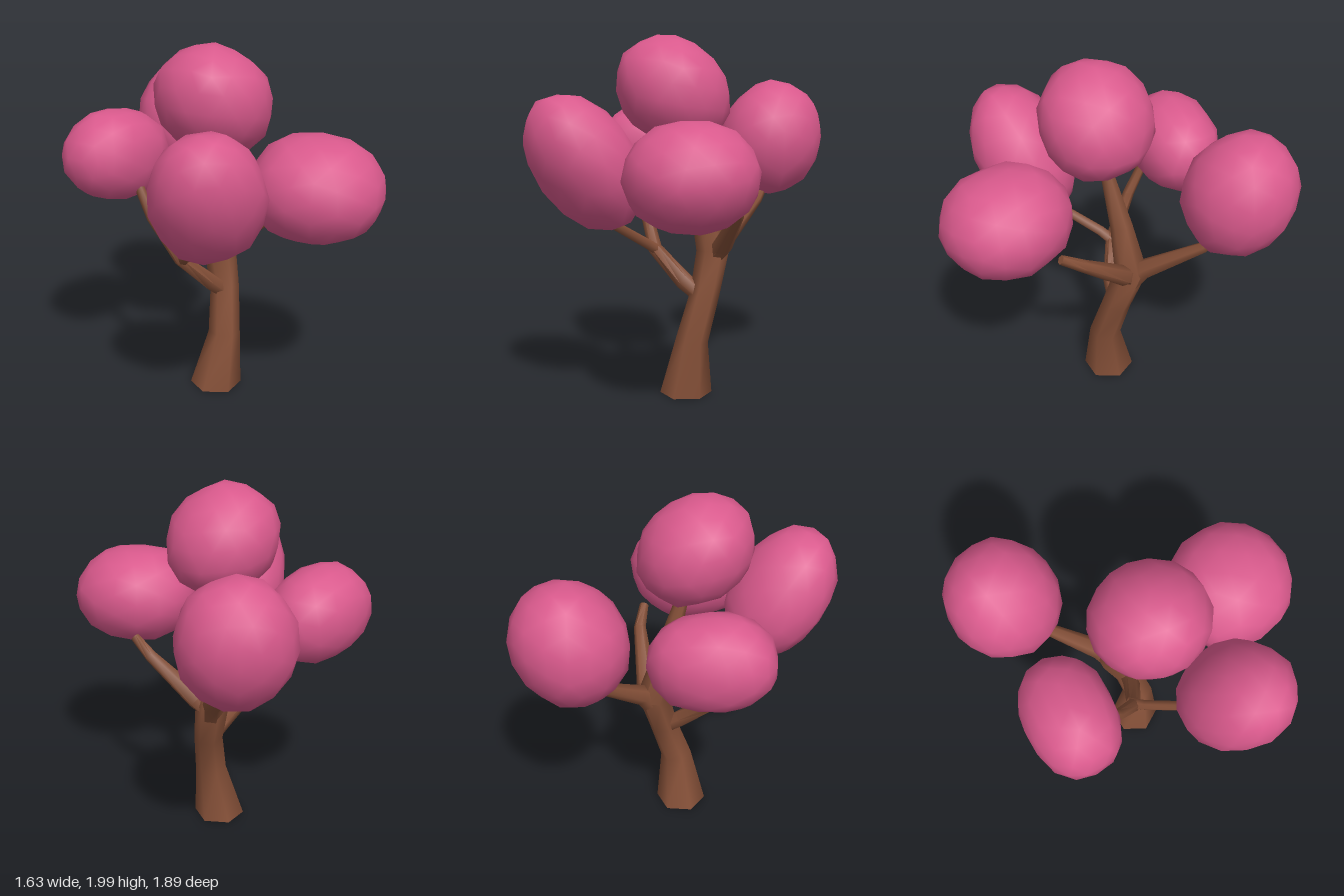
import * as THREE from 'three';
import { mergeVertices, toCreasedNormals } from 'three/addons/utils/BufferGeometryUtils.js';

const bark = new THREE.MeshStandardMaterial({ color: 0x855038, side: THREE.DoubleSide });
bark.name = 'bark brown';
const blossom = new THREE.MeshStandardMaterial({ color: 0xd9598c });
blossom.name = 'blossom pink';

// small seeded generator for the uneven foliage
function seeded(seed) {
  return () => {
    seed = (seed * 16807) % 2147483647;
    return seed / 2147483647;
  };
}

// tapered six-sided limb through points [x, y, z, radius], open at the start and capped at the tip
function limb(name, points, levelStart = false) {
  const sides = 6;
  const centres = points.map(p => new THREE.Vector3(p[0], p[1], p[2]));
  const up = new THREE.Vector3(0, 1, 0);
  const last = centres.length - 1;
  const rings = centres.map((c, i) => {
    const along = centres[Math.min(i + 1, last)].clone().sub(centres[Math.max(i - 1, 0)]).normalize();
    const turn = new THREE.Quaternion();
    if (i > 0 || !levelStart) turn.setFromUnitVectors(up, along);
    return Array.from({ length: sides }, (_, k) => {
      const a = ((k + 0.35) / sides) * Math.PI * 2;
      return new THREE.Vector3(Math.sin(a), 0, Math.cos(a))
        .multiplyScalar(points[i][3]).applyQuaternion(turn).add(c);
    });
  });
  const corners = [];
  for (let k = 0; k < sides; k++) {
    const n = (k + 1) % sides;
    for (let i = 0; i < last; i++) {
      const [a, b, c, d] = [rings[i][k], rings[i][n], rings[i + 1][n], rings[i + 1][k]];
      corners.push(a, b, c, a, c, d);
    }
    corners.push(centres[last], rings[last][k], rings[last][n]);
  }
  const geometry = toCreasedNormals(new THREE.BufferGeometry().setFromPoints(corners), 1.15);
  const mesh = new THREE.Mesh(geometry, bark);
  mesh.name = name;
  return mesh;
}

// slightly uneven foliage clump; a power above 2 makes it boxier
function clump(name, centre, radii, rotation, power, seed) {
  const random = seeded(seed);
  let geometry = new THREE.IcosahedronGeometry(1, 2);
  geometry.deleteAttribute('uv');
  geometry.deleteAttribute('normal');
  geometry = mergeVertices(geometry, 1e-3);
  const pos = geometry.attributes.position;
  const v = new THREE.Vector3();
  const scale = new THREE.Vector3(...radii);
  for (let i = 0; i < pos.count; i++) {
    v.fromBufferAttribute(pos, i);
    const size = Math.abs(v.x) ** power + Math.abs(v.y) ** power + Math.abs(v.z) ** power;
    v.multiply(scale).multiplyScalar(size ** (-1 / power) * (0.975 + 0.05 * random()));
    pos.setXYZ(i, v.x, v.y, v.z);
  }
  geometry.computeVertexNormals();
  const mesh = new THREE.Mesh(geometry, blossom);
  mesh.name = name;
  mesh.position.set(...centre);
  mesh.rotation.set(...rotation);
  return mesh;
}

export function createModel() {
  const tree = new THREE.Group();
  tree.name = 'tree';

  // trunk, bending backwards and then up into the crown
  tree.add(limb('trunk', [
    [-0.01, 0.015, 0.073, 0.145],
    [0.04, 0.33, 0.07, 0.09],
    [0.055, 0.58, -0.01, 0.082],
    [0.035, 0.82, -0.09, 0.093],
    [0.012, 1.1, -0.02, 0.062],
    [-0.01, 1.47, 0.09, 0.03],
  ], true));

  // branches, thick where they leave the trunk
  tree.add(limb('backBranch', [
    [0.04, 0.72, -0.06, 0.07], [0.03, 0.86, -0.17, 0.057], [-0.02, 1.07, -0.49, 0.031], [-0.04, 1.17, -0.58, 0.026],
  ]));
  tree.add(limb('leftBranch', [
    [0.03, 0.75, -0.08, 0.045], [0.12, 0.85, -0.08, 0.058], [0.37, 1.06, 0.04, 0.035], [0.46, 1.14, 0.13, 0.026],
  ]));
  tree.add(limb('rightBranch', [
    [0.08, 0.53, -0.03, 0.045], [-0.04, 0.65, 0.06, 0.05], [-0.21, 0.82, 0.13, 0.04],
    [-0.36, 1.06, 0.09, 0.032], [-0.43, 1.24, 0.03, 0.026],
  ]));
  tree.add(limb('frontBranch', [
    [-0.2, 0.8, 0.1, 0.034], [-0.2, 0.86, 0.2, 0.031], [-0.16, 1.0, 0.46, 0.027], [-0.14, 1.09, 0.55, 0.024],
  ]));

  // foliage: one clump at the end of every limb
  tree.add(clump('topFoliage', [-0.03, 1.703, 0.14], [0.33, 0.28, 0.31], [0, -2.4, 0.66], 2, 11));
  tree.add(clump('frontFoliage', [-0.14, 1.34, 0.648], [0.29, 0.395, 0.25], [0.58, 0, 0.15], 2.1, 23));
  tree.add(clump('leftFoliage', [0.455, 1.3, 0.435], [0.355, 0.277, 0.335], [0.1, -0.35, 0], 2.1, 37));
  tree.add(clump('rightFoliage', [-0.53, 1.37, -0.11], [0.325, 0.25, 0.238], [0, 0.785, -0.12], 2.2, 41));
  tree.add(clump('backFoliage', [-0.065, 1.425, -0.645], [0.308, 0.35, 0.298], [-0.3, 0, 0], 1.95, 59));

  return tree;
}
